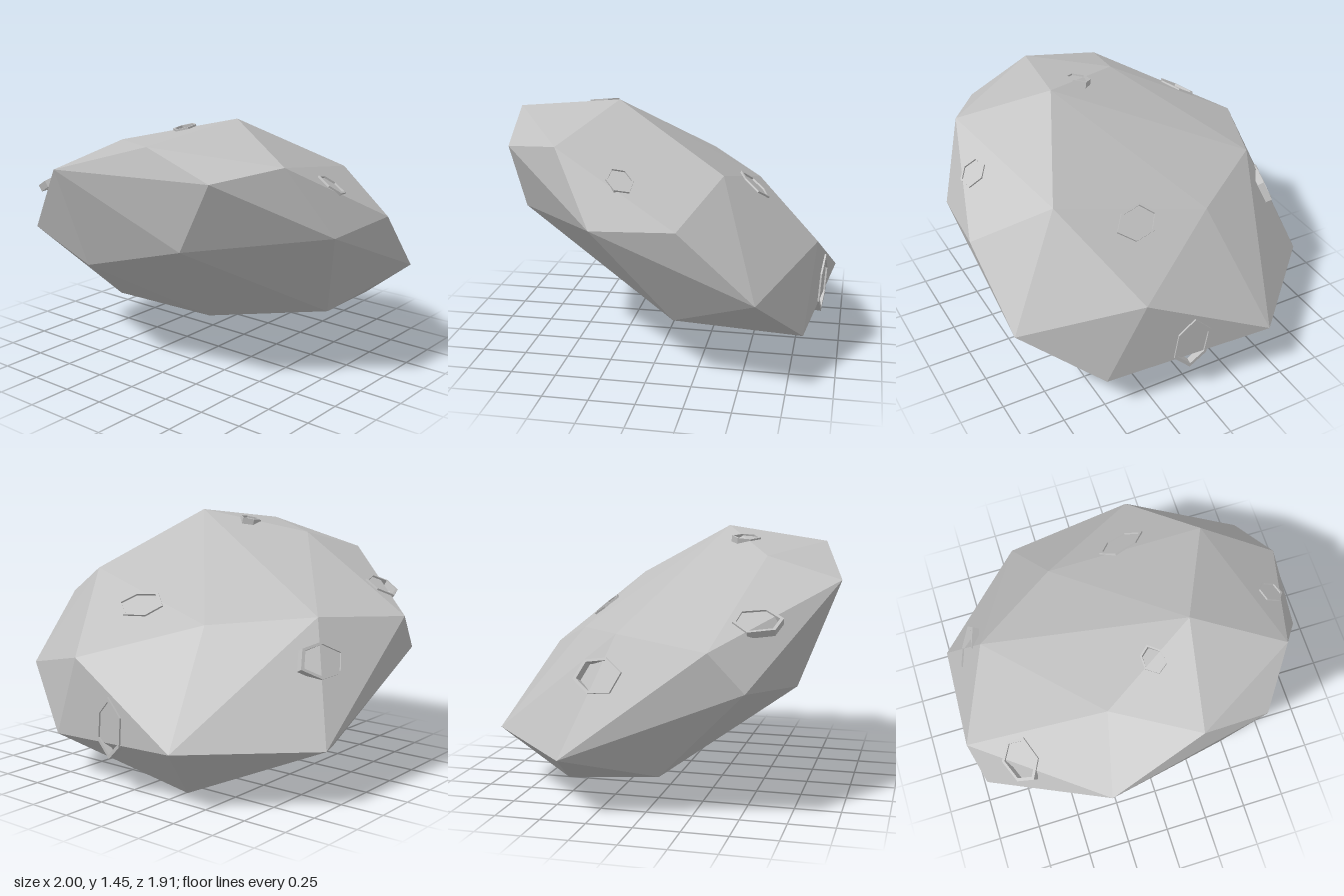
import * as THREE from 'three';
import { ConvexGeometry } from 'three/addons/geometries/ConvexGeometry.js';

const stone = new THREE.MeshStandardMaterial({ color: 0xc0c0c0 });
stone.name = 'stone grey';

// corners of the faceted boulder
const corners = [
  // upper side
  [0.31, 1.45, 0.22], [0.2, 1.375, 0.81], [0.79, 1.29, 0.45], [0.57, 1.23, 0.77],
  [-0.33, 1.21, 0.955], [-0.23, 1.32, 0.54], [-0.99, 0.91, 0.38], [0.6, 1.13, -0.39],
  [-0.77, 0.95, -0.15], [-0.28, 0.9, -0.49],
  // widest band
  [-0.945, 0.705, 0.56], [0.96, 0.91, 0.24], [1, 0.94, -0.21], [0.94, 0.56, -0.6],
  [0.31, 0.71, -0.87], [-0.43, 0.325, -0.955], [-1, 0.32, -0.4],
  // underside
  [0.36, 0.84, 0.75], [-0.33, 0.63, 0.73], [0.68, 0.345, -0.14], [0.52, 0.24, -0.82],
  [-0.02, 0.21, 0.06], [-0.74, 0.195, 0.07], [-0.26, 0, -0.61],
];

// craters: approximate centre, half width along the slope, half height up the slope
const craters = [
  [[0.16, 0.96, -0.49], 0.14, 0.1],
  [[-0.86, 0.74, -0.23], 0.145, 0.11],
  [[0.07, 1.4, 0.37], 0.08, 0.065],
  [[0.83, 1.14, 0.1], 0.075, 0.085],
  [[-0.74, 1.04, 0.59], 0.14, 0.1],
  [[0.04, 0.36, -0.91], 0.11, 0.165],
];

// irregular six-sided outline
function hexagon(path, rx, ry, seed) {
  const pts = [];
  for (let i = 0; i < 6; i++) {
    const a = (i / 6) * Math.PI * 2 + 0.3 * seed;
    const k = 1 + 0.08 * Math.sin(i * 2.3 + seed * 1.7);
    pts.push(new THREE.Vector2(Math.cos(a) * k * rx, Math.sin(a) * k * ry));
  }
  return path.setFromPoints(pts);
}

export function createModel() {
  const group = new THREE.Group();
  group.name = 'boulder';

  const geometry = new ConvexGeometry(corners.map((c) => new THREE.Vector3(...c)));
  const body = new THREE.Mesh(geometry, stone);
  body.name = 'rockBody';
  group.add(body);
  body.updateMatrixWorld(true);

  // thin crater rims sunk into the facets
  const middle = new THREE.Vector3(0, 0.73, 0);
  craters.forEach(([centre, rx, ry], i) => {
    const toward = new THREE.Vector3(...centre).sub(middle);
    const start = middle.clone().addScaledVector(toward, 3);
    const ray = new THREE.Raycaster(start, toward.clone().normalize().negate());
    const hit = ray.intersectObject(body)[0];
    const shape = hexagon(new THREE.Shape(), rx, ry, i);
    shape.holes.push(hexagon(new THREE.Path(), rx * 0.85, ry * 0.85, i));
    const rim = new THREE.Mesh(
      new THREE.ExtrudeGeometry(shape, { depth: 0.04, bevelEnabled: false }), stone);
    rim.name = 'craterRim' + (i + 1);
    const normal = hit.face.normal;
    rim.lookAt(normal);
    rim.position.copy(hit.point).addScaledVector(normal, -0.03);
    group.add(rim);
  });
  return group;
}
